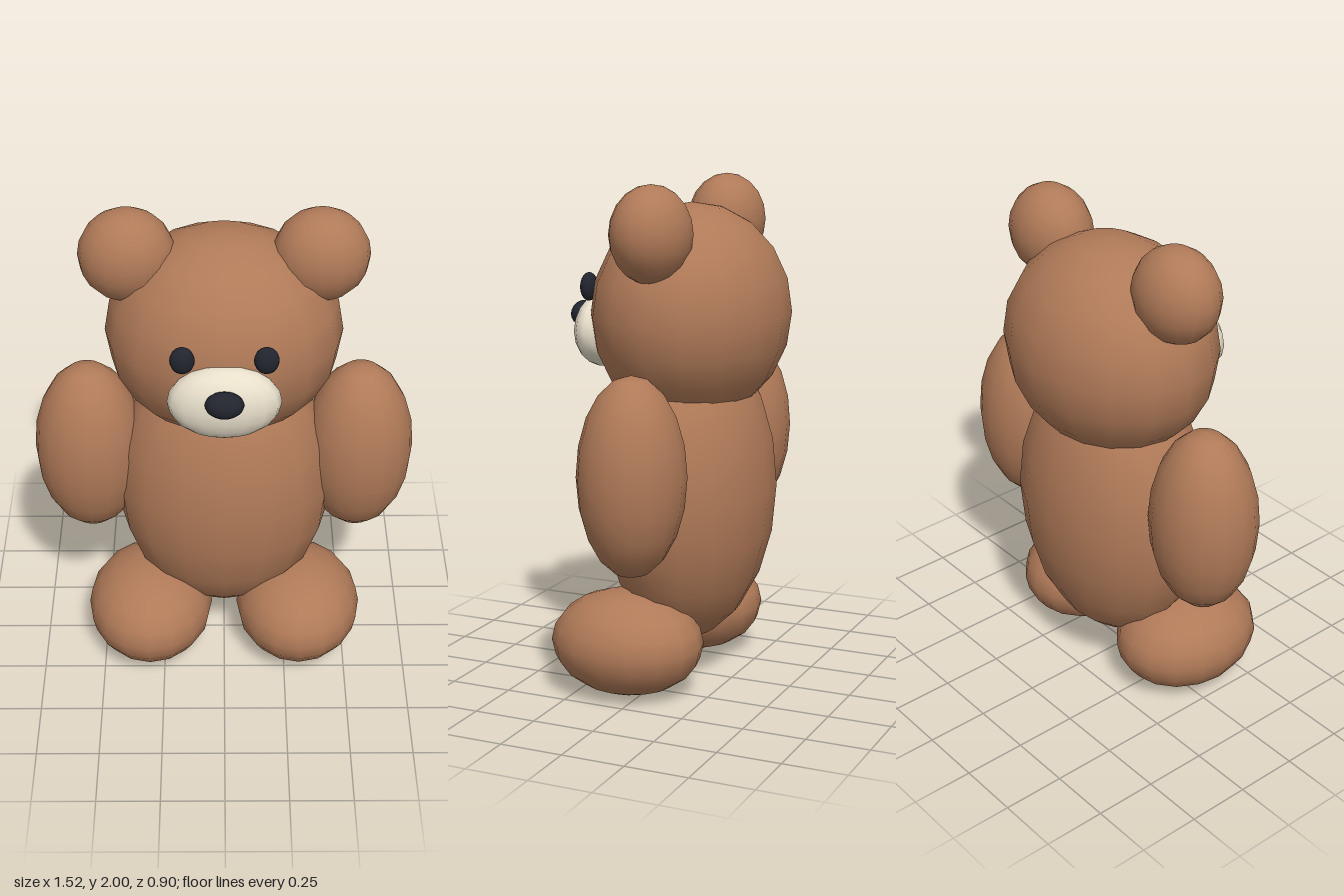
import * as THREE from 'three';

const material = (color) => new THREE.MeshStandardMaterial({ color });

export function createModel() {
  const bear = new THREE.Group();
  bear.name = 'teddyBear';

  const fur = material(0xb07a58);
  const cream = material(0xe8dfcb);
  const dark = material(0x22252e);
  const ball = new THREE.SphereGeometry(1, 16, 10);

  // Every part is a ball stretched to its three radii
  function ellipsoid(name, mat, centre, radii) {
    const mesh = new THREE.Mesh(ball, mat);
    mesh.name = name;
    mesh.position.set(...centre);
    mesh.scale.set(...radii);
    bear.add(mesh);
  }

  function pair(name, mat, [x, y, z], radii) {
    ellipsoid('left' + name, mat, [x, y, z], radii);
    ellipsoid('right' + name, mat, [-x, y, z], radii);
  }

  // Trunk and head
  ellipsoid('body', fur, [0, 0.78, -0.063], [0.44, 0.617, 0.332]);
  ellipsoid('head', fur, [0, 1.48, -0.07], [0.46, 0.43, 0.382]);

  // Limbs and ears
  pair('Arm', fur, [0.54, 0.932, -0.065], [0.22, 0.384, 0.205]);
  pair('Foot', fur, [0.308, 0.208, 0.068], [0.257, 0.207, 0.308]);
  pair('Ear', fur, [0.365, 1.815, -0.065], [0.185, 0.185, 0.153]);

  // Face
  ellipsoid('muzzle', cream, [0, 1.398, 0.3], [0.215, 0.153, 0.1]);
  ellipsoid('nose', dark, [0, 1.45, 0.4], [0.073, 0.052, 0.05]);
  pair('Eye', dark, [0.155, 1.58, 0.3], [0.047, 0.056, 0.032]);

  return bear;
}
